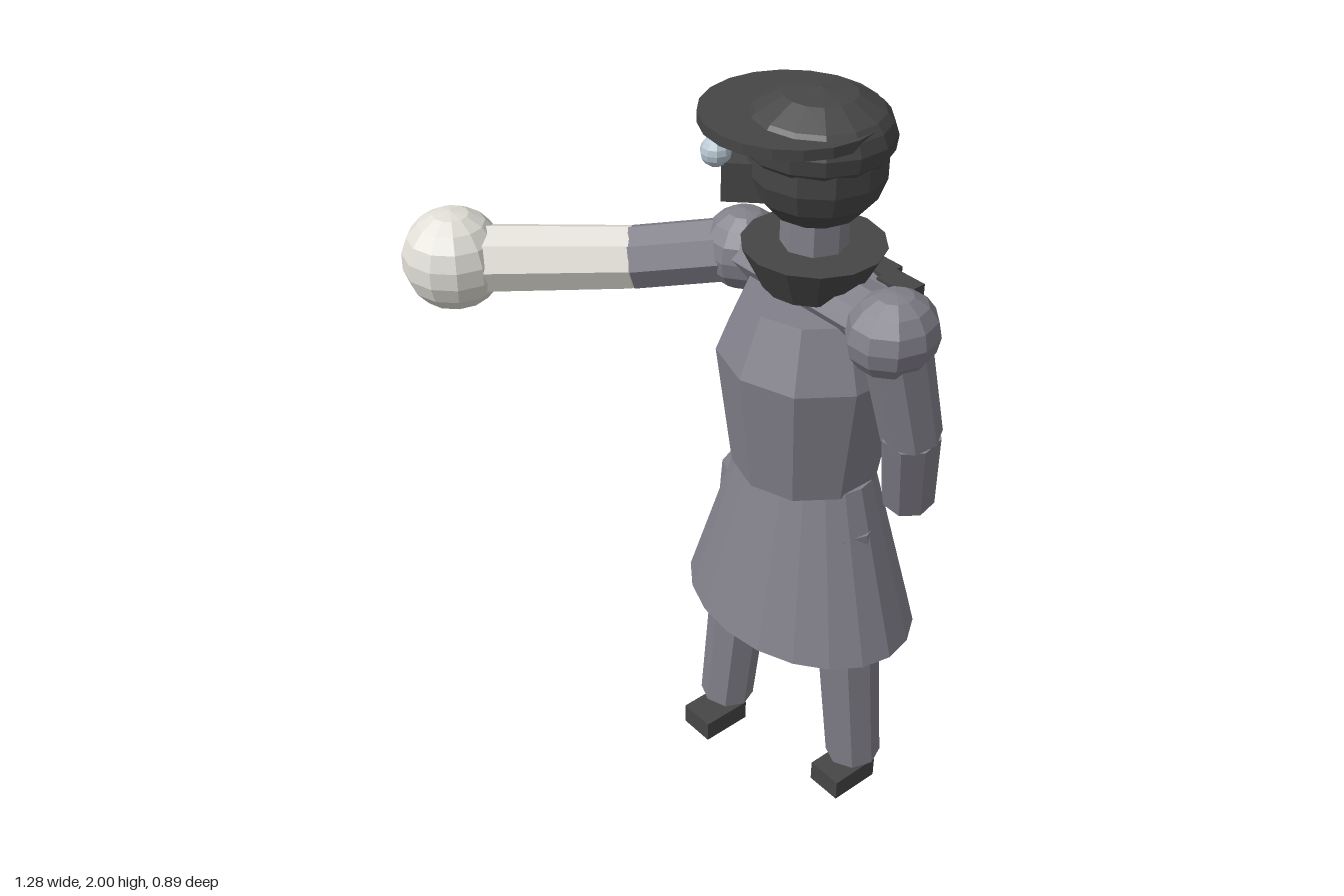
import * as THREE from 'three';

const flat = (name, color) => {
  const m = new THREE.MeshStandardMaterial({ color, flatShading: true });
  m.name = name;
  return m;
};

export function createModel() {
  const model = new THREE.Group();
  model.name = 'figure';
  const cloth = flat('greyCloth', 0x82808a);
  const dark = flat('darkLeather', 0x464646);
  const pale = flat('paleBandage', 0xe0ded6);
  const lens = flat('lens', 0xb6c6d0);

  const add = (name, geo, mat, x = 0, y = 0, z = 0) => {
    const mesh = new THREE.Mesh(geo, mat);
    mesh.name = name;
    mesh.position.set(x, y, z);
    model.add(mesh);
    return mesh;
  };
  const box = (name, mat, w, h, d, x, y, z) => add(name, new THREE.BoxGeometry(w, h, d), mat, x, y, z);
  const ball = (name, mat, r, x, y, z, ws = 10, hs = 8) => add(name, new THREE.SphereGeometry(r, ws, hs), mat, x, y, z);

  // Upright tapered part between two heights
  const cone = (name, mat, rTop, rBottom, y0, y1, x, z, sides) =>
    add(name, new THREE.CylinderGeometry(rTop, rBottom, y1 - y0, sides), mat, x, (y0 + y1) / 2, z);

  // Tapered limb running from point a to point b
  const limb = (name, mat, a, b, ra, rb, sides = 8) => {
    const p = new THREE.Vector3(...a), q = new THREE.Vector3(...b);
    const mid = p.clone().add(q).multiplyScalar(0.5);
    const mesh = add(name, new THREE.CylinderGeometry(rb, ra, p.distanceTo(q), sides), mat, mid.x, mid.y, mid.z);
    mesh.quaternion.setFromUnitVectors(new THREE.Vector3(0, 1, 0), q.sub(p).normalize());
    return mesh;
  };

  // Legs and shoes
  limb('rightLeg', cloth, [0.074, 0.095, -0.115], [0.115, 0.9, -0.16], 0.074, 0.087);
  limb('leftLeg', cloth, [0.466, 0.085, -0.235], [0.42, 0.89, -0.18], 0.074, 0.087);
  box('rightShoe', dark, 0.1, 0.06, 0.143, 0.074, 0.03, -0.072);
  box('leftShoe', dark, 0.1, 0.06, 0.143, 0.467, 0.03, -0.199);

  // Coat skirt, wider than deep
  cone('coatSkirt', cloth, 0.195, 0.337, 0.555, 1.01, 0.27, -0.19, 20).scale.z = 0.757;

  // Torso
  cone('torso', cloth, 0.235, 0.19, 1.0, 1.33, 0.272, -0.19, 10);
  cone('chest', cloth, 0.175, 0.235, 1.33, 1.48, 0.272, -0.19, 10).scale.z = 1.0;
  limb('shoulderBar', cloth, [0.01, 1.505, -0.19], [0.53, 1.505, -0.185], 0.06, 0.06).scale.z = 1.4;
  ball('rightShoulder', cloth, 0.105, 0.015, 1.49, -0.19);
  ball('leftShoulder', cloth, 0.105, 0.532, 1.495, -0.18).scale.z = 1.12;

  // Outstretched arm with bandaged forearm and round hand
  limb('rightUpperArm', cloth, [0.015, 1.487, -0.19], [-0.18, 1.445, 0.0], 0.082, 0.082);
  limb('rightForearm', pale, [-0.18, 1.445, 0.0], [-0.5, 1.41, 0.3], 0.082, 0.09);
  ball('rightHand', pale, 0.132, -0.513, 1.41, 0.312, 12, 9);

  // Bent arm hanging behind
  limb('leftUpperArm', cloth, [0.54, 1.49, -0.18], [0.562, 1.2, -0.243], 0.082, 0.074);
  limb('leftForearm', cloth, [0.562, 1.215, -0.24], [0.515, 0.965, -0.305], 0.074, 0.068);

  // Two curved rows of pouches across the back
  const pouches = [[0, 0.11, -0.39], [0.1, 0.095, -0.37], [0.178, 0.07, -0.315]];
  const pouchRow = (name, y, h, shift) => {
    for (const [dx, w, z] of pouches) {
      for (const side of dx ? [-1, 1] : [1]) {
        box(name, dark, w, h, 0.065, 0.272 + side * dx, y, z + shift);
      }
    }
  };
  pouchRow('upperPouch', 1.435, 0.105, 0);
  pouchRow('lowerPouch', 1.095, 0.07, 0.012);

  // Neck, collar and head
  cone('neck', cloth, 0.08, 0.08, 1.5, 1.72, 0.272, -0.175, 8);
  cone('collar', dark, 0.172, 0.12, 1.515, 1.62, 0.272, -0.175, 14);
  ball('head', dark, 0.164, 0.275, 1.838, -0.172, 12, 9);

  // Cap: bulging crown and an offset disc brim
  const crown = [[0.155, 1.85], [0.172, 1.868], [0.177, 1.905], [0.165, 1.935], [0.148, 1.955], [0.085, 1.99], [0, 2.0]];
  add('capCrown', new THREE.LatheGeometry(crown.map(([r, y]) => new THREE.Vector2(r, y)), 14), dark, 0.272, 0, -0.172);
  cone('capBrim', dark, 0.21, 0.21, 1.919, 1.945, 0.224, -0.133, 20);

  // Mask snout and goggles, facing along the outstretched arm
  box('maskSnout', dark, 0.13, 0.095, 0.13, 0.168, 1.793, -0.07).rotation.y = -Math.PI / 4;
  ball('rightLens', lens, 0.036, 0.075, 1.86, -0.055);
  ball('leftLens', lens, 0.036, 0.145, 1.86, 0.018);

  return model;
}
